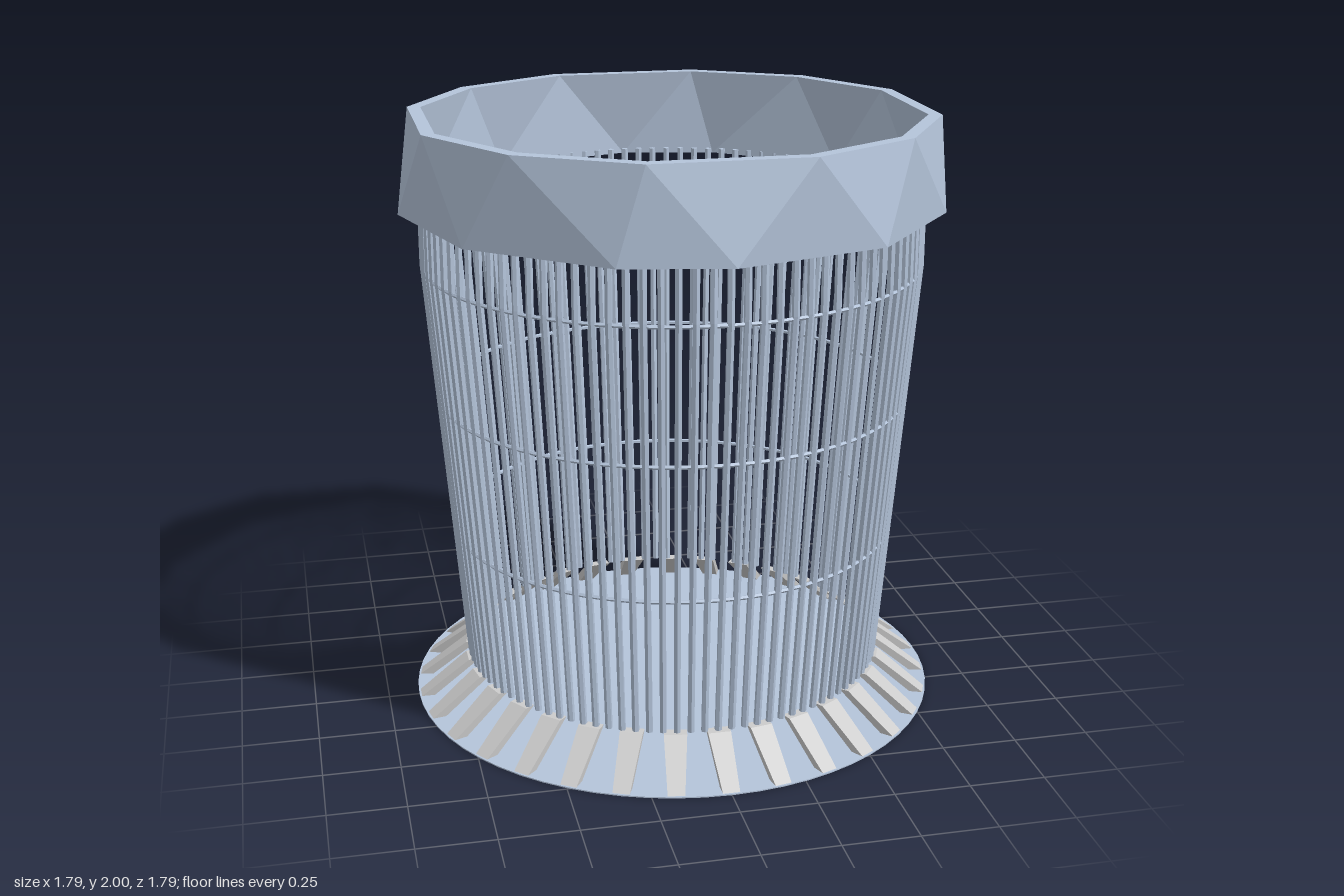
import * as THREE from 'three';

const metal = new THREE.MeshStandardMaterial({ color: 0xb4c4da, flatShading: true, side: THREE.DoubleSide });
const grey = new THREE.MeshStandardMaterial({ color: 0xcccccc, flatShading: true });

function add(parent, name, geometry, material) {
  const mesh = new THREE.Mesh(geometry, material);
  mesh.name = name;
  parent.add(mesh);
  return mesh;
}

// Repeat one geometry around the vertical axis.
function radial(parent, name, count, geometry, material) {
  const set = new THREE.Group();
  set.name = name + 's';
  for (let i = 0; i < count; i++) {
    add(set, name, geometry, material).rotation.y = (i / count) * Math.PI * 2;
  }
  parent.add(set);
}

// Faceted collar: 12-sided loops, with the upper and lower corners staggered.
function rimGeometry() {
  const low = [0, 33.75, 67.5], high = [17, 45, 73];
  const loops = [[low, 0.895, 1.7], [high, 0.87, 2], [high, 0.825, 2], [low, 0.845, 1.7]];
  const positions = [], index = [];
  for (const [angles, r, y] of loops) {
    for (let i = 0; i < 12; i++) {
      const a = THREE.MathUtils.degToRad(angles[i % 3] + 90 * Math.floor(i / 3));
      positions.push(Math.sin(a) * r, y, Math.cos(a) * r);
    }
  }
  for (let k = 0; k < 4; k++) {
    const lower = k === 2 ? 3 : k, upper = k === 2 ? 2 : (k + 1) % 4;
    for (let i = 0; i < 12; i++) {
      const j = (i + 1) % 12;
      const a = lower * 12 + i, b = lower * 12 + j, c = upper * 12 + i, d = upper * 12 + j;
      if (k === 2) index.push(a, c, b, b, c, d);
      else index.push(a, b, c, b, d, c);
    }
  }
  const g = new THREE.BufferGeometry();
  g.setAttribute('position', new THREE.Float32BufferAttribute(positions, 3));
  g.setIndex(index);
  g.computeVertexNormals();
  return g;
}

// Upright wire: leans outward, then stands straight inside the collar.
function wireGeometry() {
  const g = new THREE.CylinderGeometry(0.012, 0.012, 1, 6, 2);
  const p = g.attributes.position;
  for (let i = 0; i < p.count; i++) {
    const t = p.getY(i);
    const y = t < -0.25 ? 0.13 : t < 0.25 ? 1.52 : 1.72;
    const r = t < -0.25 ? 0.705 : 0.818;
    p.setXYZ(i, p.getX(i), y, p.getZ(i) + r);
  }
  g.computeVertexNormals();
  return g;
}

// Splayed foot: a tapered block sloping from the basket down to the base edge.
function footGeometry() {
  const g = new THREE.BoxGeometry(1, 1, 1);
  const p = g.attributes.position;
  for (let i = 0; i < p.count; i++) {
    const top = p.getY(i) > 0, outer = p.getZ(i) > 0;
    const width = top ? 0.075 : 0.055;
    const z = top ? (outer ? 0.725 : 0.69) : (outer ? 0.895 : 0.85);
    p.setXYZ(i, p.getX(i) * width, top ? 0.13 : 0, z);
  }
  g.computeVertexNormals();
  return g;
}

export function createModel() {
  const model = new THREE.Group();
  model.name = 'wireBasket';

  add(model, 'rim', rimGeometry(), metal);
  radial(model, 'wire', 100, wireGeometry(), metal);
  radial(model, 'foot', 32, footGeometry(), grey);

  // Thin hoops tying the wires together
  for (const [y, r] of [[0.6, 0.743], [1.06, 0.781], [1.51, 0.818]]) {
    const hoop = add(model, 'hoop', new THREE.TorusGeometry(r, 0.007, 5, 64), metal);
    hoop.rotation.x = Math.PI / 2;
    hoop.position.y = y;
  }

  // Flat base plate
  const base = add(model, 'base', new THREE.CylinderGeometry(0.897, 0.897, 0.004, 64), metal);
  base.position.y = 0.002;
  return model;
}
